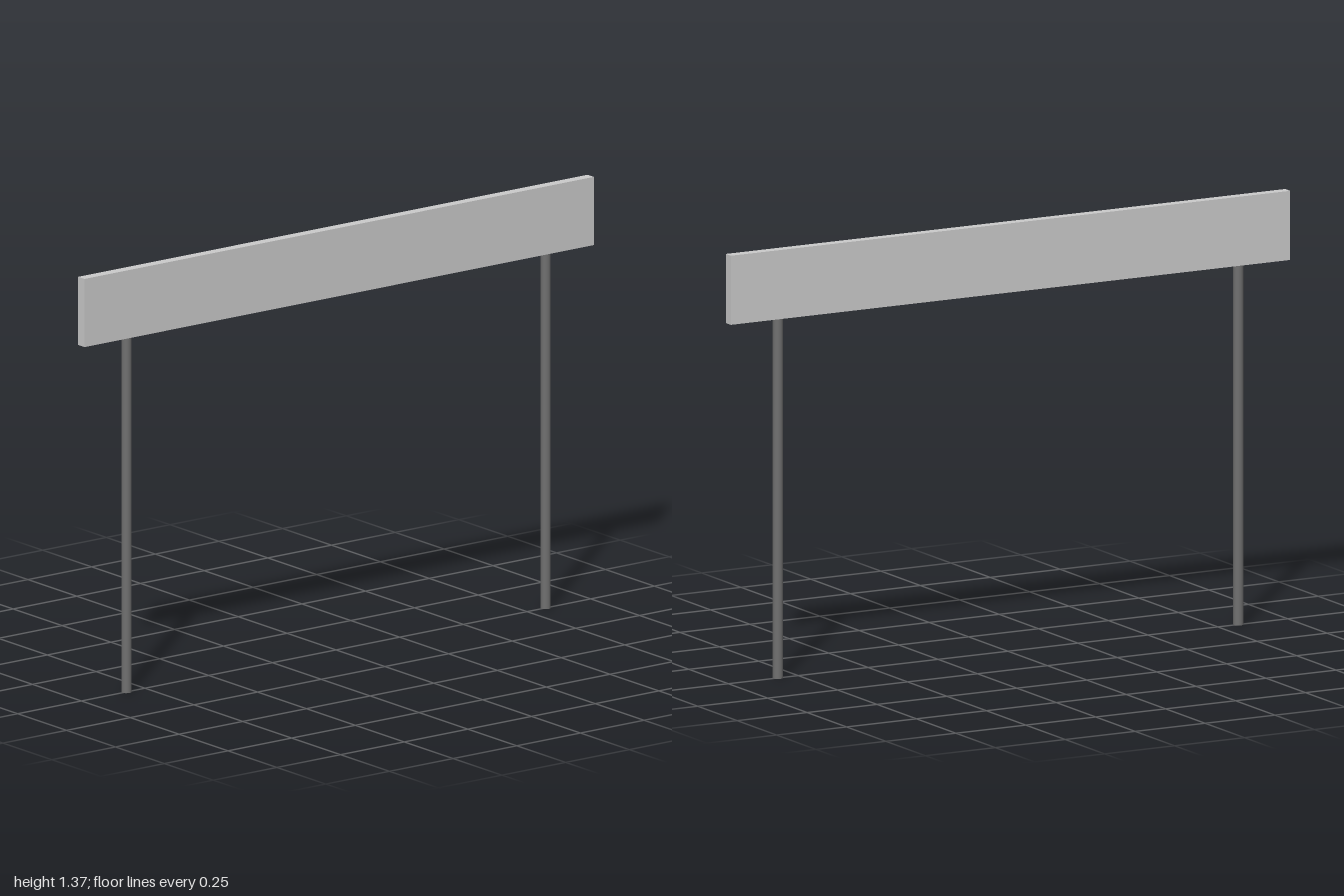
import * as THREE from 'three';

export function createModel() {
  const model = new THREE.Group();
  const boardMaterial = new THREE.MeshStandardMaterial({ color: 0xcccccc });
  const postMaterial = new THREE.MeshStandardMaterial({ color: 0x707070 });

  const bottom = 1.145, top = 1.365, thickness = 0.032;

  // Long flat board running front to back
  const board = new THREE.Mesh(new THREE.BoxGeometry(thickness, top - bottom, 2), boardMaterial);
  board.name = 'board';
  board.position.y = (bottom + top) / 2;
  model.add(board);

  // Two round posts holding the board up
  const postGeometry = new THREE.CylinderGeometry(0.016, 0.016, bottom, 16);
  for (const [name, z] of [['frontPost', 0.823], ['backPost', -0.823]]) {
    const post = new THREE.Mesh(postGeometry, postMaterial);
    post.name = name;
    post.position.set(0, bottom / 2, z);
    model.add(post);
  }
  return model;
}
